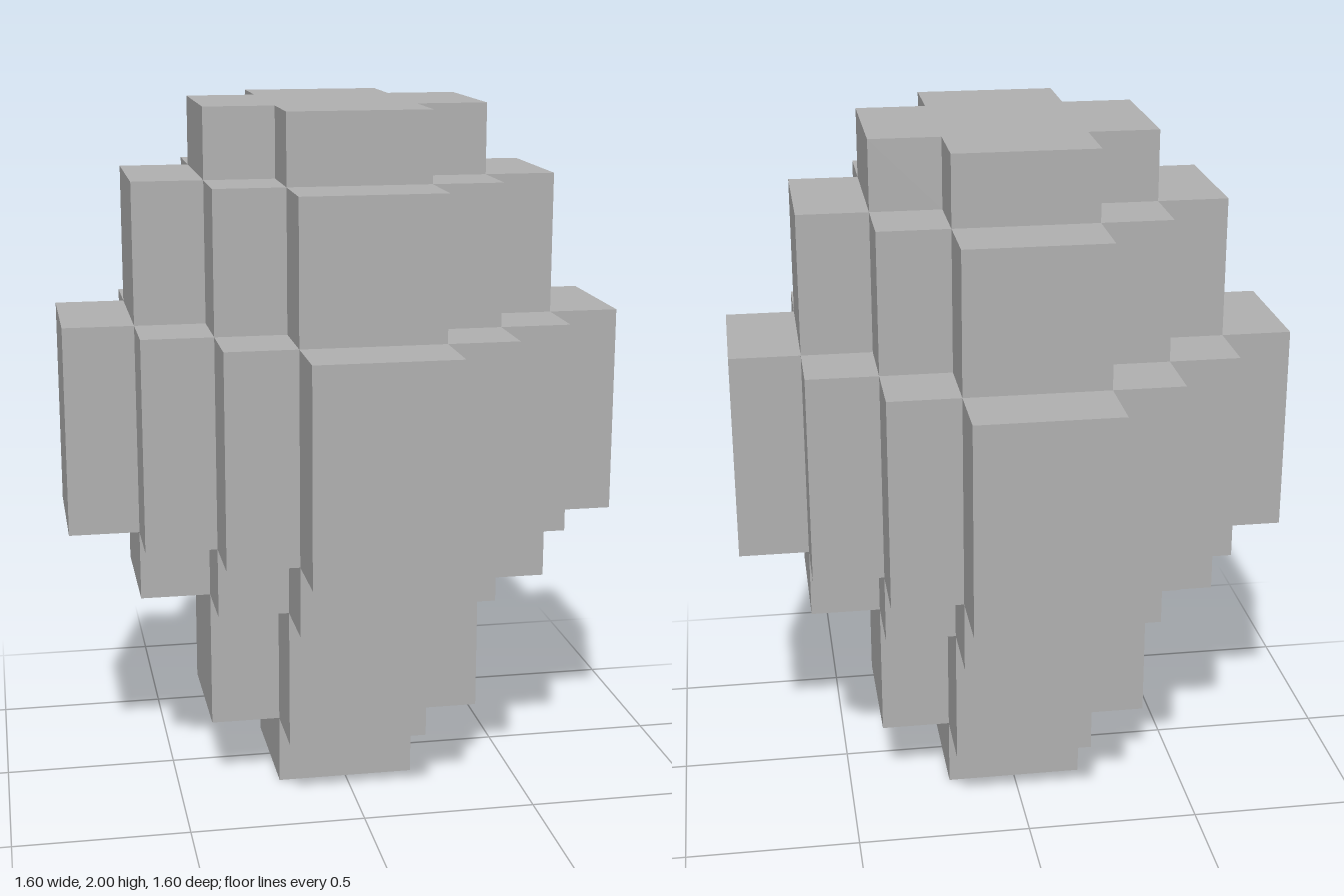
import * as THREE from 'three';

const STEP = 0.2;

// Diamond outline with stair-stepped sides, n steps from centre to tip
function steppedDiamond(n) {
  const points = [];
  for (let quarter = 0; quarter < 4; quarter++) {
    const add = (x, y) => {
      for (let i = 0; i < quarter; i++) [x, y] = [-y, x];
      points.push(new THREE.Vector2(x * STEP, y * STEP));
    };
    for (let k = 0; k < n; k++) {
      add(n - k, k + 1);
      if (k < n - 1) add(n - k - 1, k + 1);
    }
  }
  return new THREE.Shape(points);
}

export function createModel() {
  const group = new THREE.Group();
  group.name = 'blockyEgg';
  const grey = new THREE.MeshStandardMaterial({ color: 0xb2b2b2 });
  grey.name = 'stone grey';

  // Layers from the bottom up: name, steps, bottom, top
  const layers = [
    ['foot', 1, 0, 0.2],
    ['lowerTaper', 2, 0.2, 0.6],
    ['lowerShoulder', 3, 0.6, 0.8],
    ['belly', 4, 0.8, 1.4],
    ['upperShoulder', 3, 1.4, 1.8],
    ['crown', 2, 1.8, 2],
  ];
  for (const [name, steps, bottom, top] of layers) {
    const geometry = new THREE.ExtrudeGeometry(steppedDiamond(steps), {
      depth: top - bottom,
      bevelEnabled: false,
    });
    geometry.rotateX(-Math.PI / 2);
    const mesh = new THREE.Mesh(geometry, grey);
    mesh.name = name;
    mesh.position.y = bottom;
    group.add(mesh);
  }
  return group;
}
